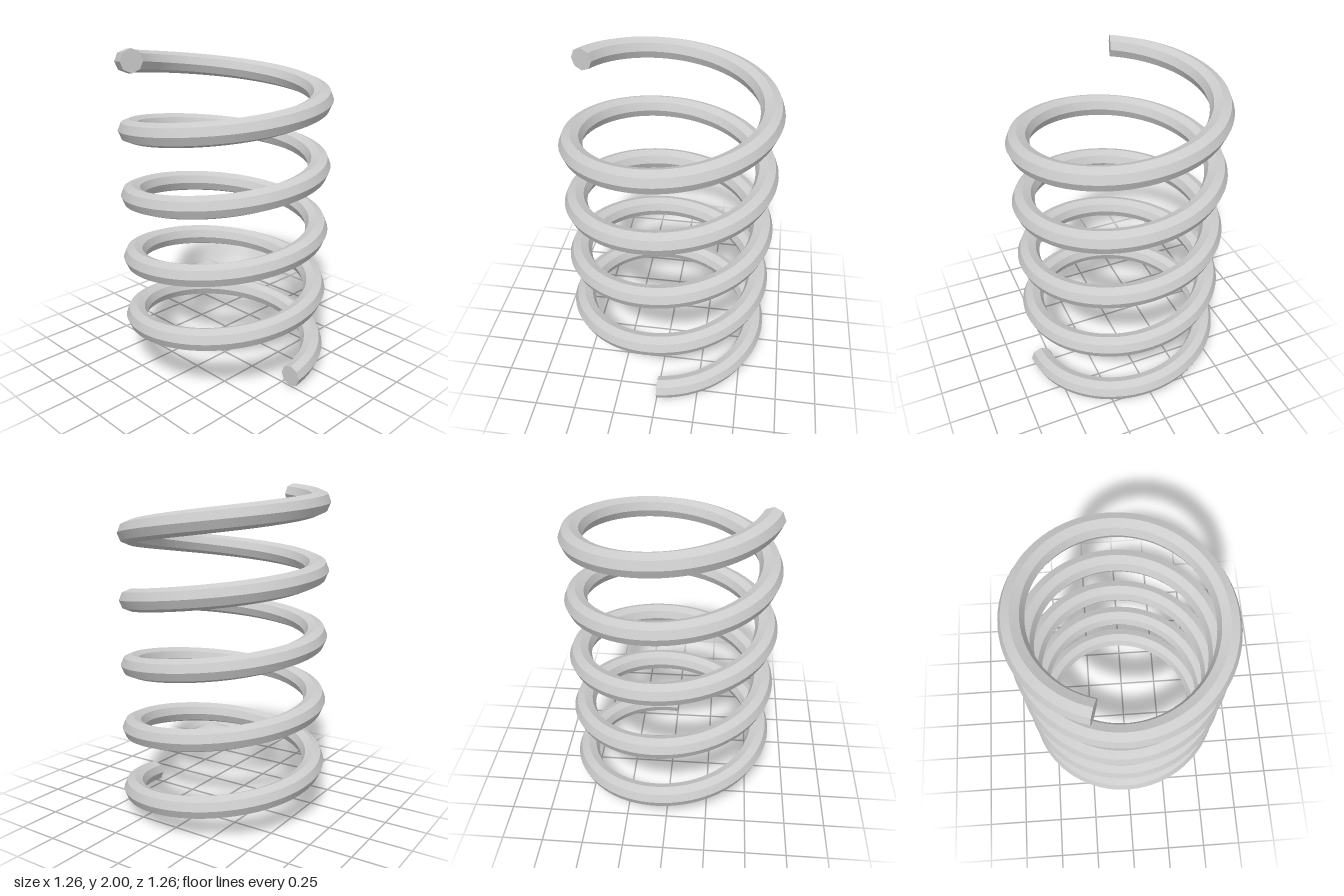
import * as THREE from 'three';

const RADIUS = 0.565;   // coil centre line
const WIRE = 0.0675;    // wire radius
const SIDES = 8;
const TURNS = 4.7;
const PITCH = (2 - 2 * WIRE) / TURNS;
const STEPS = Math.round(TURNS * 80);
const END = TURNS * Math.PI * 2;

// Point on the wire surface: t runs along the helix (0..1), a around the upright octagon
function wirePoint(t, a) {
  const turn = t * END;
  const r = RADIUS + WIRE * Math.cos(a);
  return [r * Math.cos(turn), WIRE + t * TURNS * PITCH + WIRE * Math.sin(a), -r * Math.sin(turn)];
}

// One separate strip per octagon side: smooth along the wire, sharp between sides
function wireGeometry() {
  const positions = [];
  const index = [];
  for (let s = 0; s < SIDES; s++) {
    const base = positions.length / 3;
    for (let i = 0; i <= STEPS; i++) {
      for (let j = 0; j < 2; j++) {
        positions.push(...wirePoint(i / STEPS, ((s + j) / SIDES) * Math.PI * 2));
      }
    }
    for (let i = 0; i < STEPS; i++) {
      const a = base + i * 2;
      index.push(a, a + 2, a + 1, a + 1, a + 2, a + 3);
    }
  }
  const geometry = new THREE.BufferGeometry();
  geometry.setAttribute('position', new THREE.Float32BufferAttribute(positions, 3));
  geometry.setIndex(index);
  geometry.computeVertexNormals();
  return geometry;
}

export function createModel() {
  const group = new THREE.Group();
  group.name = 'coilSpring';
  const material = new THREE.MeshStandardMaterial({ color: 0xcccccc });

  const coil = new THREE.Mesh(wireGeometry(), material);
  coil.name = 'coil';
  group.add(coil);

  // Flat octagonal wire ends
  const addCap = (name, turn, y, facing) => {
    const cap = new THREE.Mesh(new THREE.CircleGeometry(WIRE, SIDES), material);
    cap.name = name;
    cap.position.set(RADIUS * Math.cos(turn), y, -RADIUS * Math.sin(turn));
    cap.rotation.y = turn + facing;
    group.add(cap);
  };
  addCap('bottomEnd', 0, WIRE, 0);
  addCap('topEnd', END, 2 - WIRE, Math.PI);

  return group;
}
